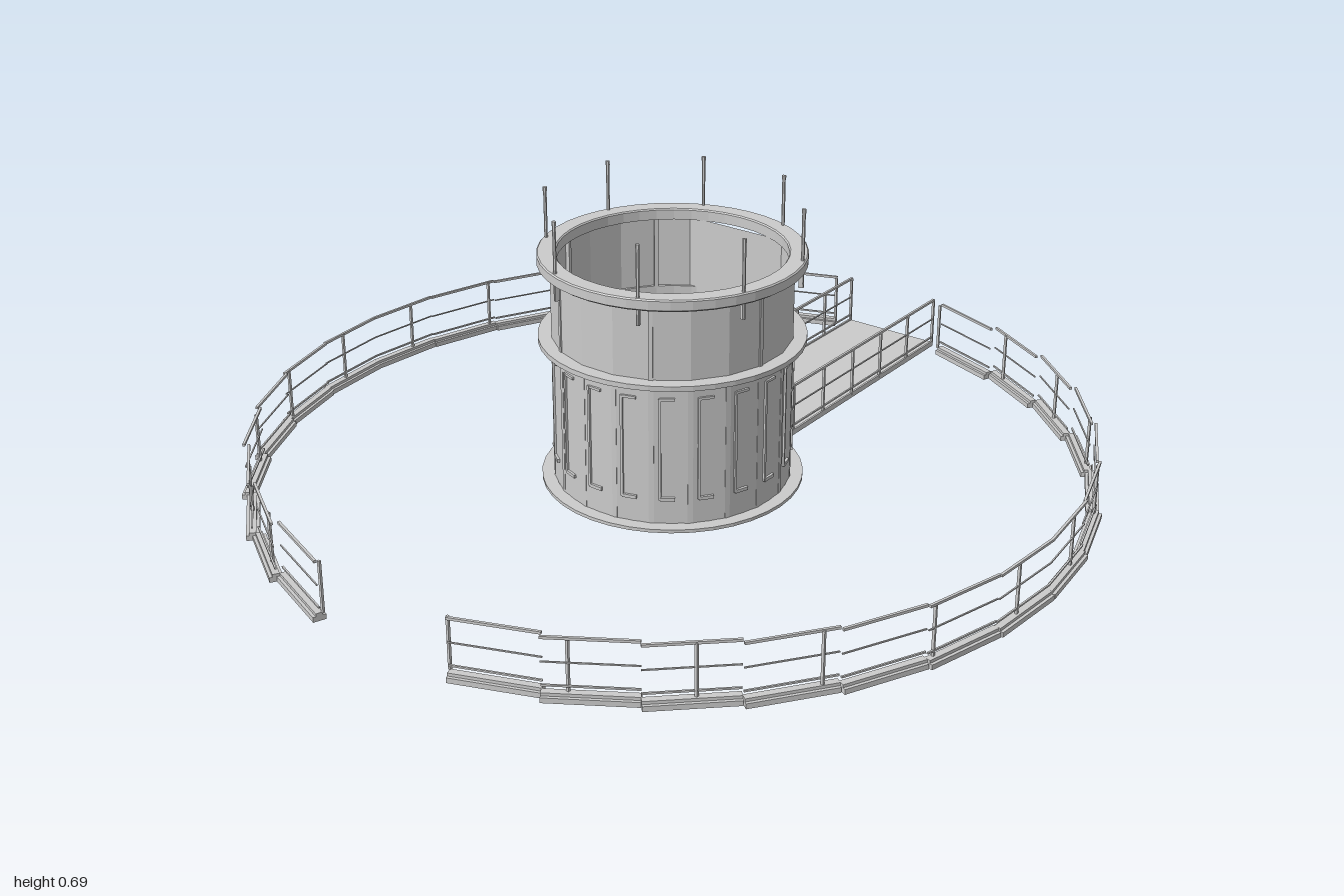
import * as THREE from 'three';

const mat = new THREE.MeshStandardMaterial({ color: 0xcccccc, flatShading: true });
const thinMat = new THREE.MeshStandardMaterial({ color: 0xcccccc, flatShading: true, side: THREE.DoubleSide });
const RAD = Math.PI / 180;

// Point on a circle, angle in degrees measured from the front (+z) towards +x
const polar = (deg, r, y = 0) => new THREE.Vector3(r * Math.sin(deg * RAD), y, r * Math.cos(deg * RAD));
const atHeight = (p, y) => new THREE.Vector3(p.x, y, p.z);

function add(parent, name, geo, material = mat) {
  const m = new THREE.Mesh(geo, material);
  m.name = name;
  parent.add(m);
  return m;
}

function group(parent, name, z = 0) {
  const g = new THREE.Group();
  g.name = name;
  g.position.z = z;
  parent.add(g);
  return g;
}

function box(parent, name, w, h, d, x, y, z) {
  const m = add(parent, name, new THREE.BoxGeometry(w, h, d));
  m.position.set(x, y, z);
  return m;
}

// Box seated on the tower wall, facing outward at the given angle
function wallBox(parent, name, deg, r, y, w, h, d) {
  const p = polar(deg, r, y);
  box(parent, name, w, h, d, p.x, p.y, p.z).rotation.y = deg * RAD;
}

// Straight square bar between two points
function beam(parent, name, a, b, w, h = w) {
  const m = add(parent, name, new THREE.BoxGeometry(w, h, a.distanceTo(b)));
  m.position.copy(a).add(b).multiplyScalar(0.5);
  m.lookAt(b);
}

// Upright sheet following a line of points
function sheet(parent, name, pts, y0, y1) {
  const v = [];
  for (let i = 0; i + 1 < pts.length; i++) {
    const a = pts[i], b = pts[i + 1];
    v.push(a.x, y0, a.z, b.x, y0, b.z, b.x, y1, b.z, a.x, y0, a.z, b.x, y1, b.z, a.x, y1, a.z);
  }
  const g = new THREE.BufferGeometry();
  g.setAttribute('position', new THREE.Float32BufferAttribute(v, 3));
  g.computeVertexNormals();
  add(parent, name, g, thinMat);
}

// Ring with a closed profile of [radius, y] pairs, counter-clockwise
function ring(parent, name, profile) {
  const pts = [...profile, profile[0]].map(([r, y]) => new THREE.Vector2(r, y));
  add(parent, name, new THREE.LatheGeometry(pts, 40));
}

// Three rails along a line of ground points, with evenly spread posts
function railing(parent, name, pts, postCount, y0, top) {
  const g = group(parent, name);
  for (let i = 1; i < pts.length; i++) {
    const rail = (part, y, w) => beam(g, part, atHeight(pts[i - 1], y), atHeight(pts[i], y), w);
    rail('topRail', top, 0.006);
    rail('middleRail', 0.085, 0.003);
    rail('bottomRail', 0.032, 0.004);
  }
  for (let i = 0; i < postCount; i++) {
    const t = (i * (pts.length - 1)) / (postCount - 1);
    const k = Math.min(Math.floor(t), pts.length - 2);
    const p = pts[k].clone().lerp(pts[k + 1], t - k);
    box(g, 'railPost', 0.006, top - y0, 0.006, p.x, (top + y0) / 2, p.z);
  }
}

export function createModel() {
  const model = new THREE.Group();
  model.name = 'roundTowerWithWalkway';
  const centreZ = 0.009;

  // Outer walkway: two mirrored arcs of kerb with railings
  for (const side of [1, -1]) {
    const arc = group(model, side > 0 ? 'leftArc' : 'rightArc', centreZ);
    const pts = [];
    for (let i = 0; i <= 14; i++) pts.push(polar(side * (10.4 + (160.1 * i) / 14), 0.985));
    for (let i = 0; i < 14; i++) {
      beam(arc, 'kerbBase', atHeight(pts[i], 0.006), atHeight(pts[i + 1], 0.006), 0.03, 0.012);
      beam(arc, 'kerbTop', atHeight(pts[i], 0.015), atHeight(pts[i + 1], 0.015), 0.016, 0.008);
    }
    railing(arc, 'arcRailing', pts, 12, 0.018, 0.14);
  }

  // Bridge to the back door
  const bridge = group(model, 'bridge');
  box(bridge, 'deck', 0.256, 0.008, 0.685, 0, 0.012, -0.6475);
  for (const x of [-0.129, 0.129]) {
    box(bridge, 'deckEdge', 0.005, 0.014, 0.685, x, 0.013, -0.6475);
    railing(bridge, 'bridgeRailing', [new THREE.Vector3(x, 0, -0.312), new THREE.Vector3(x, 0, -0.987)], 6, 0.012, 0.14);
  }

  // Tower wall: faceted drum cut flat at the back
  const tower = group(model, 'tower', centreZ);
  const R = 0.28, cut = 151.9, backZ = R * Math.cos(cut * RAD);
  const wall = [polar(-cut, R)];
  for (let a = -135; a <= 135; a += 18) wall.push(polar(a, R));
  wall.push(polar(cut, R));
  sheet(tower, 'lowerWall', wall, 0.008, 0.355);
  sheet(tower, 'upperWall', wall, 0.355, 0.54);
  sheet(tower, 'backWall', [polar(cut, R), polar(-cut, R)], 0.008, 0.54);

  // Ledge between the flat back wall and the middle band
  const ledge = new THREE.Shape();
  for (let i = 0; i <= 8; i++) {
    const p = polar(cut + ((360 - 2 * cut) * i) / 8, R);
    if (i) ledge.lineTo(p.x, -p.z);
    else ledge.moveTo(p.x, -p.z);
  }
  const ledgeMesh = add(tower, 'backLedge', new THREE.ShapeGeometry(ledge), thinMat);
  ledgeMesh.rotation.x = -Math.PI / 2;
  ledgeMesh.position.y = 0.355;

  // Foot flange, middle band and crown
  ring(tower, 'footFlange', [[0.278, 0.002], [0.309, 0.002], [0.309, 0.01], [0.278, 0.01]]);
  ring(tower, 'middleBand', [[0.272, 0.343], [0.293, 0.345], [0.311, 0.352], [0.311, 0.364], [0.272, 0.364]]);
  ring(tower, 'crown', [[0.265, 0.538], [0.3, 0.535], [0.309, 0.541], [0.309, 0.562], [0.306, 0.565], [0.268, 0.565], [0.265, 0.562]]);

  // Narrow raised strips with feet on the lower wall, ribs inside
  const face = R * Math.cos(9 * RAD);
  for (let a = -126; a <= 126; a += 18) {
    wallBox(tower, 'wallStrip', a - 5, face, 0.195, 0.006, 0.25, 0.012);
    wallBox(tower, 'stripFoot', a - 1.5, face, 0.072, 0.034, 0.008, 0.012);
    wallBox(tower, 'stripHead', a - 1.5, face, 0.318, 0.034, 0.006, 0.01);
  }
  for (let a = -135; a <= 135; a += 18) wallBox(tower, 'lowerRib', a, R - 0.006, 0.178, 0.012, 0.335, 0.012);
  for (let a = -135; a <= 135; a += 54) wallBox(tower, 'upperRib', a, R - 0.004, 0.45, 0.01, 0.18, 0.012);

  // Eight aerials clipped outside the crown
  for (let i = 0; i < 8; i++) {
    const a = 22.5 + 45 * i, p = polar(a, 0.3);
    add(tower, 'aerial', new THREE.CylinderGeometry(0.004, 0.004, 0.185, 6)).position.set(p.x, 0.5925, p.z);
    add(tower, 'aerialTip', new THREE.CylinderGeometry(0.005, 0.005, 0.01, 6)).position.set(p.x, 0.682, p.z);
    wallBox(tower, 'aerialClip', a, 0.297, 0.52, 0.008, 0.04, 0.01);
  }

  // Back door seams
  for (const x of [-0.072, 0, 0.072]) box(tower, 'doorSeam', 0.005, 0.3, 0.008, x, 0.17, backZ);

  // Hanging lamps either side of the door
  for (const x of [-0.105, 0.105]) {
    const lamp = group(tower, 'doorLamp', backZ - 0.033);
    lamp.position.x = x;
    box(lamp, 'lampArm', 0.007, 0.006, 0.036, 0, 0.28, 0.015);
    add(lamp, 'lampCap', new THREE.CylinderGeometry(0.006, 0.015, 0.012, 8)).position.y = 0.271;
    add(lamp, 'lampGlass', new THREE.CylinderGeometry(0.012, 0.009, 0.055, 8)).position.y = 0.238;
    add(lamp, 'lampBase', new THREE.CylinderGeometry(0.011, 0.006, 0.01, 8)).position.y = 0.206;
  }

  // Control box beside the door
  wallBox(tower, 'controlBox', 143.5, 0.28, 0.155, 0.032, 0.07, 0.016);
  wallBox(tower, 'controlScreen', 143.5, 0.289, 0.168, 0.02, 0.024, 0.004);

  return model;
}
